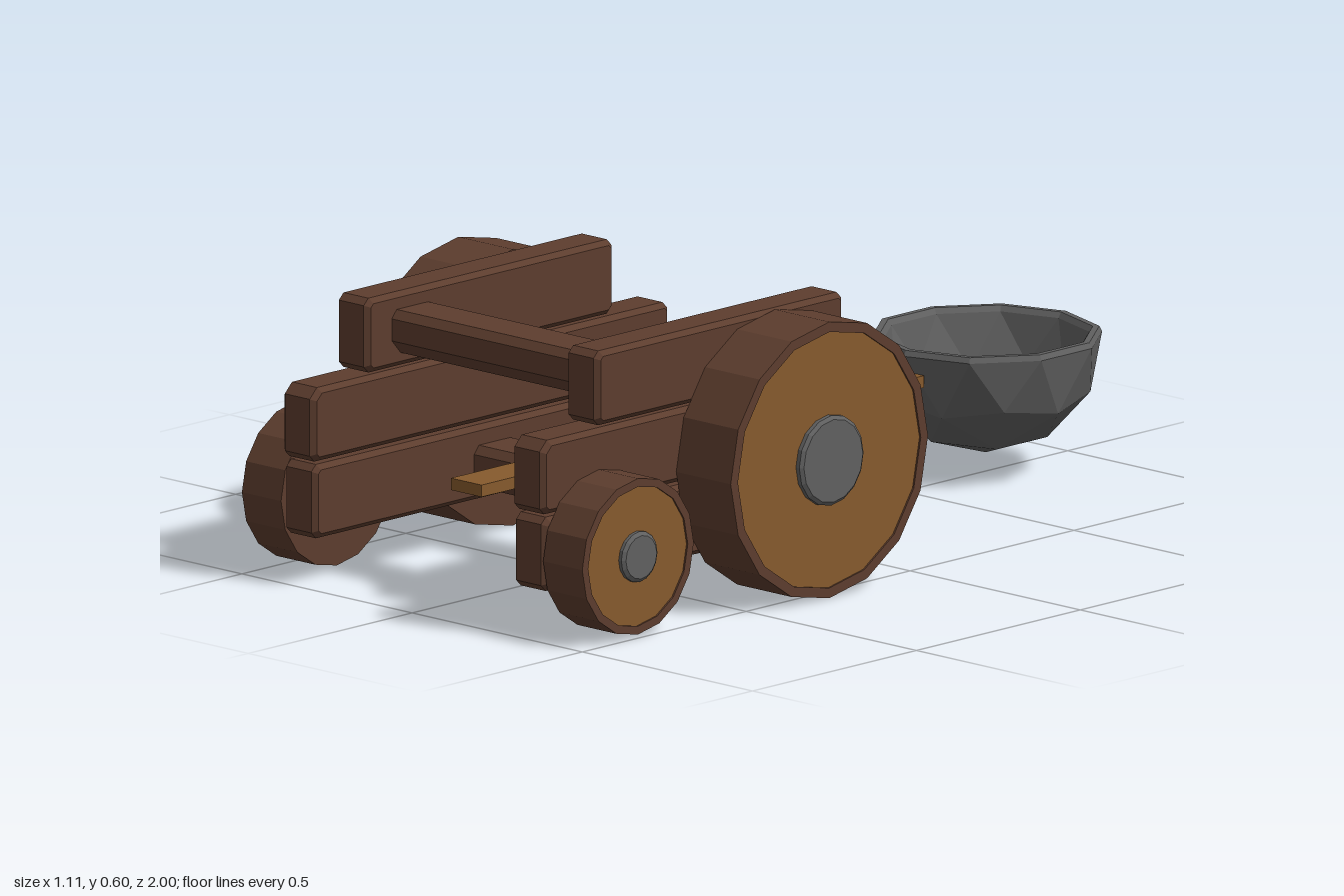
import * as THREE from 'three';

const wood = new THREE.MeshStandardMaterial({ color: 0x5d3d2e });
wood.name = 'darkWood';
const tan = new THREE.MeshStandardMaterial({ color: 0x865a2d });
tan.name = 'lightWood';
const iron = new THREE.MeshStandardMaterial({ color: 0x606060 });
iron.name = 'iron';

// Faceted normals for the low-poly look
function facet(geometry) {
  const g = geometry.index ? geometry.toNonIndexed() : geometry;
  g.computeVertexNormals();
  return g;
}

function addMesh(parent, name, geometry, material) {
  const mesh = new THREE.Mesh(facet(geometry), material);
  mesh.name = name;
  parent.add(mesh);
  return mesh;
}

// Extrude a side profile of [z, y] points along x, centred on x = 0
function sideExtrude(points, width, bevel) {
  const shape = new THREE.Shape(points.map(([z, y]) => new THREE.Vector2(-z, y)));
  const g = new THREE.ExtrudeGeometry(shape, {
    depth: width - 2 * bevel, bevelEnabled: bevel > 0, bevelSegments: 1,
    bevelSize: bevel, bevelThickness: bevel, bevelOffset: -bevel,
  });
  return g.translate(0, 0, -(width - 2 * bevel) / 2).rotateY(Math.PI / 2);
}

// Plank with a cut on each corner: back low, front low, front high, back high
function plank(z0, z1, y0, y1, [bl, fl, fh, bh]) {
  return sideExtrude([
    [z0 + bl, y0], [z1 - fl, y0], [z1, y0 + fl], [z1, y1 - fh],
    [z1 - fh, y1], [z0 + bh, y1], [z0, y1 - bh], [z0, y0 + bl],
  ], 0.095, 0.011);
}

// Wheel facing +x: rim with a shallow recess, light disc and iron hub
function wheel(name, radius, width, rim, hubRadius, hubOut) {
  const group = new THREE.Group();
  group.name = name;
  const recess = 0.008;
  const profile = [
    [0, 0], [radius, 0], [radius, width], [radius - rim, width],
    [radius - rim, width - recess], [0, width - recess],
  ].map(([r, y]) => new THREE.Vector2(r, y));
  const axis = (g) => g.rotateZ(-Math.PI / 2);
  addMesh(group, 'wheelRim', axis(new THREE.LatheGeometry(profile, 16)), wood);
  addMesh(group, 'wheelDisc', axis(new THREE.CylinderGeometry(radius - rim, radius - rim, 0.004, 16)
    .translate(0, width - recess + 0.002, 0)), tan);
  const hub = [
    [hubRadius, width - recess], [hubRadius, width + hubOut - 0.006],
    [hubRadius - 0.008, width + hubOut], [0, width + hubOut],
  ].map(([r, y]) => new THREE.Vector2(r, y));
  addMesh(group, 'wheelHub', axis(new THREE.LatheGeometry(hub, 16)), iron);
  return group;
}

// Lower half of a subdivided icosahedron standing on one vertex
function halfDome(radius, depth, inward) {
  const t = (1 + Math.sqrt(5)) / 2;
  const src = new THREE.IcosahedronGeometry(1, 1).rotateZ(-Math.PI / 2 - Math.atan2(t, -1));
  const p = src.attributes.position;
  const out = [];
  for (let i = 0; i < p.count; i += 3) {
    if (p.getY(i) + p.getY(i + 1) + p.getY(i + 2) > -0.01) continue;
    for (const k of inward ? [0, 2, 1] : [0, 1, 2]) {
      out.push(p.getX(i + k) * radius, p.getY(i + k) * depth, p.getZ(i + k) * radius);
    }
  }
  const g = new THREE.BufferGeometry();
  g.setAttribute('position', new THREE.Float32BufferAttribute(out, 3));
  return g;
}

export function createModel() {
  const model = new THREE.Group();
  model.name = 'catapult';

  // Side frames and wheels, mirrored left and right
  for (const side of [1, -1]) {
    const label = side > 0 ? 'left' : 'right';
    const frame = new THREE.Group();
    frame.name = label + 'Frame';
    model.add(frame);
    const planks = [
      ['topPlank', plank(0.08, 0.835, 0.445, 0.607, [0.014, 0.014, 0.014, 0.014])],
      ['middlePlank', plank(-0.09, 1.0, 0.28, 0.44, [0.014, 0.014, 0.022, 0.014])],
      ['bottomPlank', plank(-0.08, 0.995, 0.112, 0.273, [0.045, 0.014, 0.014, 0.014])],
    ];
    for (const [name, g] of planks) addMesh(frame, name, g, wood).position.x = side * 0.3375;

    const big = wheel(label + 'RearWheel', 0.301, 0.16, 0.022, 0.098, 0.012);
    big.position.set(side * 0.385, 0.305, 0.293);
    const small = wheel(label + 'FrontWheel', 0.17, 0.115, 0.018, 0.055, 0.01);
    small.position.set(side * 0.385, 0.182, 0.83);
    for (const w of [big, small]) {
      if (side < 0) w.rotation.y = Math.PI;
      model.add(w);
    }
  }

  // Cross beams with a narrowed underside
  const beam = [
    [-0.036, -0.048], [0.036, -0.048], [0.0625, -0.018],
    [0.0625, 0.03], [0.048, 0.048], [-0.048, 0.048], [-0.0625, 0.03], [-0.0625, -0.018],
  ];
  for (const [name, y, z] of [['upperBeam', 0.523, 0.698], ['lowerBeam', 0.183, 0.447]]) {
    addMesh(model, name, sideExtrude(beam, 0.6, 0), wood).position.set(0, y, z);
  }

  // Throwing arm
  const arm = plank(-0.515, 0.835, 0.235, 0.261, [0.003, 0.003, 0.003, 0.003]);
  arm.dispose();
  addMesh(model, 'throwingArm', new THREE.BoxGeometry(0.09, 0.026, 1.35), tan)
    .position.set(0, 0.248, 0.16);

  // Bowl: outer shell, inner shell and rim
  const bowl = new THREE.Group();
  bowl.name = 'bowl';
  bowl.position.set(0, 0.298, -0.75);
  addMesh(bowl, 'bowlOutside', halfDome(0.25, 0.253, false), iron);
  addMesh(bowl, 'bowlInside', halfDome(0.222, 0.228, true), iron);
  const rim = [[0.25, 0], [0.244, 0.012], [0.23, 0.012], [0.222, 0]]
    .map(([r, y]) => new THREE.Vector2(r, y));
  addMesh(bowl, 'bowlRim', new THREE.LatheGeometry(rim, 10), iron);
  model.add(bowl);

  return model;
}
